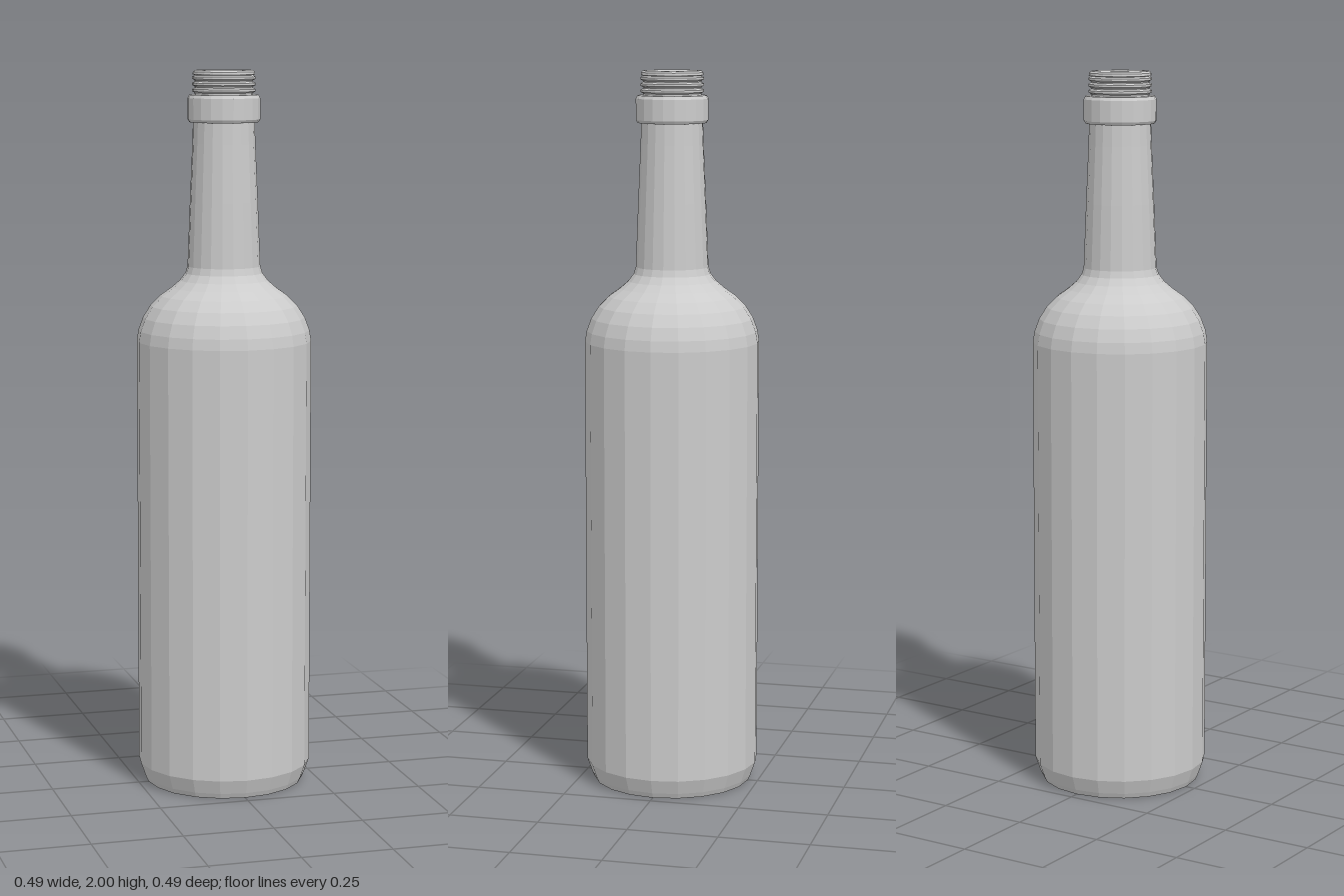
import * as THREE from 'three';

const SIDES = 20;

export function createModel() {
  const bottle = new THREE.Group();
  bottle.name = 'bottle';
  const glass = new THREE.MeshStandardMaterial({
    color: 0xcccccc, flatShading: true, side: THREE.DoubleSide,
  });

  // Turns a profile of [radius, height] pairs, listed from bottom to top
  function turn(name, profile) {
    const points = profile.map(([r, y]) => new THREE.Vector2(r, y));
    const mesh = new THREE.Mesh(new THREE.LatheGeometry(points, SIDES), glass);
    mesh.name = name;
    bottle.add(mesh);
  }

  // Flat base with a chamfered foot, and the straight body
  turn('base', [[0, 0], [0.222, 0], [0.229, 0.015], [0.243, 0.055]]);
  turn('body', [[0.243, 0.055], [0.243, 1.255]]);

  // Rounded shoulder sweeping into the neck
  turn('shoulder', [
    [0.243, 1.255], [0.238, 1.285], [0.225, 1.32], [0.204, 1.353], [0.176, 1.381],
    [0.145, 1.403], [0.122, 1.423], [0.107, 1.443], [0.101, 1.462],
  ]);
  turn('neck', [[0.101, 1.462], [0.094, 1.64], [0.087, 1.8], [0.085, 1.86]]);

  // Raised collar below the mouth
  turn('collar', [
    [0.085, 1.858], [0.095, 1.858], [0.1, 1.866], [0.1, 1.924], [0.095, 1.933], [0.08, 1.933],
  ]);

  // Threaded mouth: stacked ridges, then a rounded lip turned inwards
  const mouth = [[0.08, 1.933]];
  for (let i = 0; i < 3; i++) {
    const y = 1.938 + i * 0.017;
    mouth.push([0.08, y], [0.087, y + 0.004], [0.087, y + 0.01], [0.08, y + 0.014]);
  }
  mouth.push([0.086, 1.988], [0.085, 1.995], [0.08, 2], [0.074, 2], [0.07, 1.995], [0.07, 1.985], [0.077, 1.978]);
  turn('threadedMouth', mouth);

  return bottle;
}
